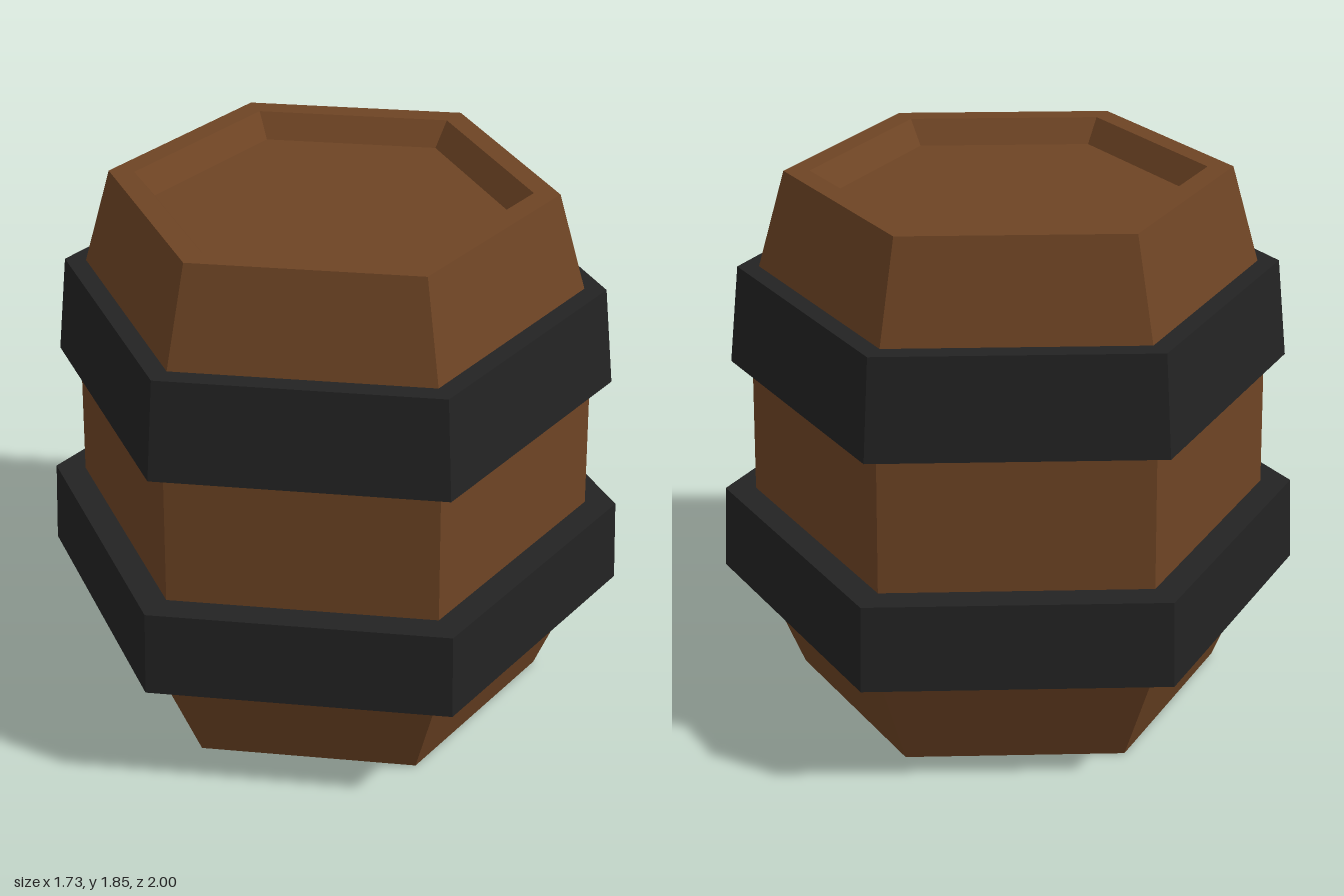
import * as THREE from 'three';

// Six-sided, flat-faceted solid of revolution with a corner facing +z.
// Profile points are [corner radius, height], running up the outside.
function hexLathe(name, profile, material) {
  const points = profile.map(([r, y]) => new THREE.Vector2(r, y));
  const geometry = new THREE.LatheGeometry(points, 6).toNonIndexed();
  geometry.computeVertexNormals();
  const mesh = new THREE.Mesh(geometry, material);
  mesh.name = name;
  return mesh;
}

// Closed hoop: sloping outer face, flat top and bottom, inner face inside the wood.
function hoop(name, y0, r0, y1, r1, material) {
  const inner = 0.8;
  return hexLathe(name, [[inner, y0], [r0, y0], [r1, y1], [inner, y1], [inner, y0]], material);
}

export function createModel() {
  const wood = new THREE.MeshStandardMaterial({ color: 0x6e4424 });
  wood.name = 'brown wood';
  const iron = new THREE.MeshStandardMaterial({ color: 0x232323 });
  iron.name = 'dark iron';

  const barrel = new THREE.Group();
  barrel.name = 'barrel';

  // Bulging wooden body with a raised rim and recessed lid
  barrel.add(hexLathe('woodenBody', [
    [0, 0], [0.735, 0], [0.895, 0.4], [0.88, 0.7], [0.868, 1.18], [0.83, 1.52],
    [0.735, 1.85], [0.65, 1.85], [0.585, 1.77], [0, 1.77],
  ], wood));

  // Two iron hoops
  barrel.add(hoop('lowerHoop', 0.4, 1.0, 0.7, 0.985, iron));
  barrel.add(hoop('upperHoop', 1.18, 0.94, 1.52, 0.902, iron));

  return barrel;
}
